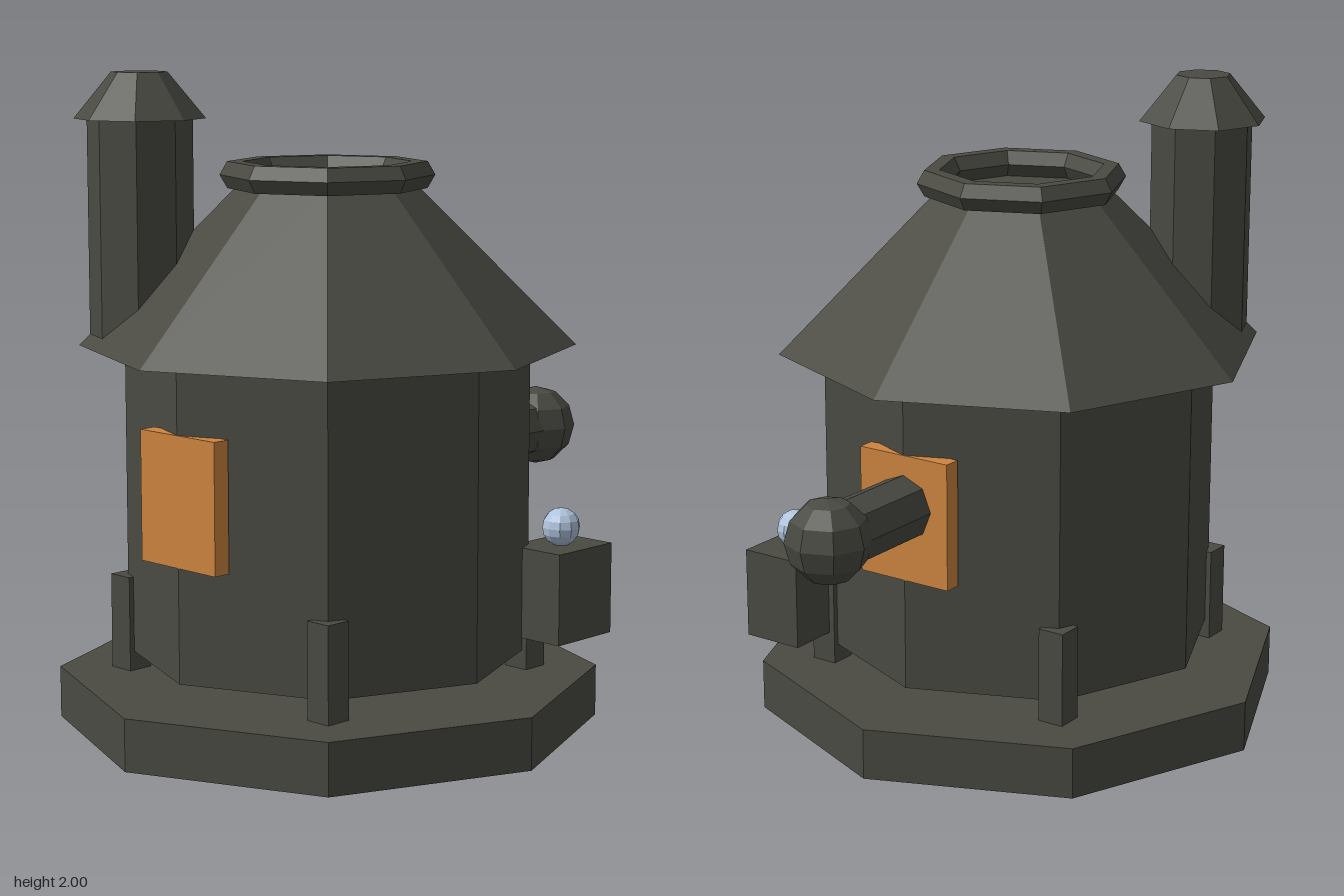
import * as THREE from 'three';

export function createModel() {
  const model = new THREE.Group();
  const flat = (name, color) => {
    const m = new THREE.MeshStandardMaterial({ color, flatShading: true });
    m.name = name;
    return m;
  };
  const iron = flat('darkIron', 0x4a4a43);
  const copper = flat('copper', 0xcd853f);
  const glass = flat('paleBlueGlass', 0xb0c4de);
  const axis = -0.14; // x of the main drum's centre line

  const add = (name, geometry, material, x, y, z) => {
    const mesh = new THREE.Mesh(geometry, material);
    mesh.name = name;
    mesh.position.set(x, y, z);
    model.add(mesh);
    return mesh;
  };
  // Eight-sided drum or cone between two heights
  const drum = (name, rTop, rBottom, y0, y1, x = axis, z = 0) =>
    add(name, new THREE.CylinderGeometry(rTop, rBottom, y1 - y0, 8), iron, x, (y0 + y1) / 2, z);
  const box = (name, w, h, d, material, x, y, z) =>
    add(name, new THREE.BoxGeometry(w, h, d), material, x, y, z);

  // Main tank
  drum('base', 0.835, 0.835, 0, 0.16);
  drum('body', 0.62, 0.62, 0.22, 1.17);
  drum('roof', 0.28, 0.76, 1.17, 1.65);
  add('rimRing', new THREE.TorusGeometry(0.28, 0.047, 6, 8), iron, axis, 1.69, 0).rotation.x = Math.PI / 2;

  // Chimney at the back
  drum('chimney', 0.16, 0.16, 1.18, 1.87, -0.54, -0.4);
  drum('chimneyCap', 0.085, 0.2, 1.86, 2, -0.54, -0.4);

  // Four legs
  for (const sx of [-1, 1]) for (const sz of [-1, 1])
    box('leg', 0.085, 0.295, 0.085, iron, axis + sx * 0.433, 0.3075, sz * 0.433);

  // Side plates
  for (const s of [-1, 1])
    box('sidePlate', 0.055, 0.395, 0.32, copper, axis + s * 0.5935, 0.7675, 0);

  // Side pipe with ball end
  add('pipe', new THREE.CylinderGeometry(0.1, 0.1, 0.48, 8), iron, 0.6, 0.803, 0).rotation.z = Math.PI / 2;
  add('pipeBall', new THREE.SphereGeometry(0.13, 8, 6), iron, 0.84, 0.803, 0);

  // Control box with lamp
  box('controlBox', 0.25, 0.285, 0.2, iron, 0.37, 0.4025, 0.51);
  add('lamp', new THREE.SphereGeometry(0.06, 10, 8), glass, 0.37, 0.6, 0.51);

  return model;
}
